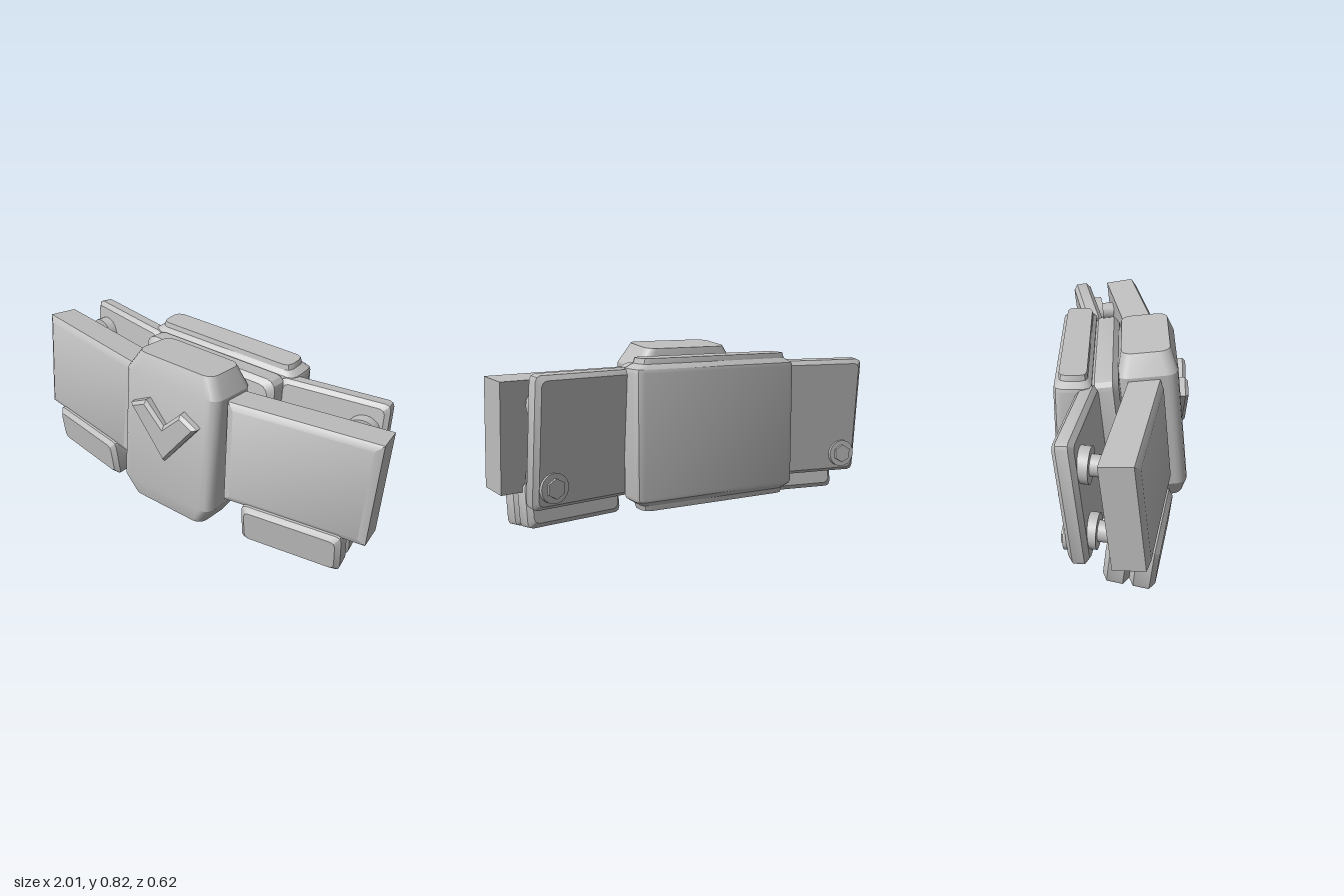
import * as THREE from 'three';
import { toCreasedNormals } from 'three/addons/utils/BufferGeometryUtils.js';

// Counter-clockwise rectangle with cut (segs 1), rounded (segs > 1) or sharp (segs 0) corners
function ring(hw, hh, r = 0, segs = 0, taper = 0) {
  const pts = [];
  [[1, 1], [-1, 1], [-1, -1], [1, -1]].forEach(([sx, sy], i) => {
    for (let j = 0; j <= segs; j++) {
      const a = (i + (segs ? j / segs : 0)) * Math.PI / 2;
      const x = sx * (hw - r) + Math.cos(a) * r;
      const y = sy * (hh - r) + Math.sin(a) * r;
      pts.push([x * (1 + taper * y / hh), y]);
    }
  });
  return pts;
}

// Closed solid through rings stacked along z: [[z, ring], ...]
function loft(sections, crease = 0.45) {
  const pos = [];
  const n = sections[0][1].length;
  const put = (s, i) => pos.push(...sections[s][1][i % n], sections[s][0]);
  const tri = (...c) => c.forEach(([s, i]) => put(s, i));
  for (let s = 0; s < sections.length - 1; s++) {
    for (let i = 0; i < n; i++) {
      tri([s, i], [s, i + 1], [s + 1, i + 1]);
      tri([s, i], [s + 1, i + 1], [s + 1, i]);
    }
  }
  const last = sections.length - 1;
  for (let i = 1; i < n - 1; i++) {
    tri([last, 0], [last, i], [last, i + 1]);
    tri([0, 0], [0, i + 1], [0, i]);
  }
  const g = new THREE.BufferGeometry();
  g.setAttribute('position', new THREE.Float32BufferAttribute(pos, 3));
  return toCreasedNormals(g, crease);
}

// Slab in the xy plane with rounded corners and bevelled faces
function slab(hw, hh, hd, r, bevel, segs = 2) {
  const inner = ring(hw - bevel, hh - bevel, r, segs);
  const outer = ring(hw, hh, r, segs);
  return loft([[-hd, inner], [-hd + bevel, outer], [hd - bevel, outer], [hd, inner]]);
}

export function createModel() {
  const model = new THREE.Group();
  const grey = new THREE.MeshStandardMaterial({ color: 0xc0c0c0 });
  grey.name = 'plain grey';

  const TILT = -0.1, YAW = 0.17;
  function add(name, geometry, [x, y, z], tilt = 0, yaw = 0) {
    const m = new THREE.Mesh(geometry, grey);
    m.name = name;
    m.position.set(x, y, z);
    m.rotation.set(tilt, yaw, 0, 'YXZ');
    model.add(m);
    return m;
  }

  // Central buckle block, narrowing at top and bottom
  const buckle = loft([
    [-0.392, ring(0.22, 0.113, 0.05, 4)],
    [-0.295, ring(0.277, 0.141, 0.055, 4)],
    [0.295, ring(0.277, 0.141, 0.055, 4)],
    [0.392, ring(0.22, 0.113, 0.05, 4)],
  ]).rotateX(-Math.PI / 2);
  add('buckle', buckle, [0, 0.428, 0.139], TILT);

  // Raised chevron on the buckle
  const v = new THREE.Shape([
    [0, 0.35], [0.18, 0.58], [0.107, 0.615], [0, 0.508], [-0.107, 0.615], [-0.18, 0.58],
  ].map(([x, y]) => new THREE.Vector2(x, y)));
  const chevron = new THREE.ExtrudeGeometry(v, {
    depth: 0.045, bevelEnabled: true, bevelThickness: 0.016, bevelSize: 0.016, bevelSegments: 1,
  });
  add('chevron', chevron, [0, 0, 0.244]);

  // Plate behind the buckle
  add('middlePlate', slab(0.39, 0.31, 0.065, 0.05, 0.025, 3), [0, 0.44, -0.06], TILT);

  // Upright rear plate with stepped ends
  const rear = [[0.347, 0.385, 0.0625], [0.322, 0.392, 0.066], [0.3, 0.425, 0.083], [0.285, 0.43, 0.085]]
    .map(([t, w, d]) => [t, ring(w, d, 0.035, 2)]);
  const rearLower = rear.map(([t, r]) => [-t, r]);
  add('rearPlate', loft([...rearLower, ...rear.reverse()]).rotateX(-Math.PI / 2), [0, 0.438, -0.225]);

  const panel = loft([
    [-0.075, ring(0.36, 0.256, 0, 0, 0.02)],
    [0.07, ring(0.36, 0.256, 0, 0, 0.02)],
    [0.088, ring(0.325, 0.225, 0, 0, 0.02)],
  ], 0.6);
  const wing = slab(0.265, 0.297, 0.046, 0.025, 0.02);
  const pouchLayer = slab(0.25, 0.105, 0.0575, 0.025, 0.022);
  const disc = (r, len, sides = 24) =>
    toCreasedNormals(new THREE.CylinderGeometry(r, r, len, sides).rotateX(Math.PI / 2), 0.5);

  for (const s of [1, -1]) {
    const side = s > 0 ? 'left' : 'right';
    const yaw = s * YAW;

    // Swept front panel and the plate behind it
    add(side + 'FrontPanel', panel, [s * 0.635, 0.45, 0.06], TILT, yaw);
    add(side + 'RearWing', wing, [s * 0.63, 0.44, -0.172], TILT, yaw);

    // Two-layer pouch under the panel
    for (const [layer, k] of [['Front', 1], ['Back', -1]]) {
      const off = k * 0.0575;
      add(side + 'Pouch' + layer, pouchLayer,
        [s * (0.635 + off * 0.17), 0.12 - off * 0.1, 0.07 + off * 0.98], 0.11, yaw);
    }

    // Spacers between panel and wing
    for (const [y, z] of [[0.592, -0.155], [0.26, -0.128]]) {
      add(side + 'SpacerDisc', disc(0.08, 0.05), [s * 0.8, y, z], 0, yaw);
      add(side + 'SpacerStud', disc(0.047, 0.09), [s * 0.806, y, z + 0.045], 0, yaw);
    }

    // Hex bolt on the lower outer corner of the wing
    add(side + 'BoltWasher', disc(0.068, 0.05), [s * 0.8, 0.24, -0.22], 0, yaw);
    add(side + 'BoltHead', disc(0.046, 0.05, 6), [s * 0.797, 0.24, -0.232], 0, yaw);
  }
  return model;
}
